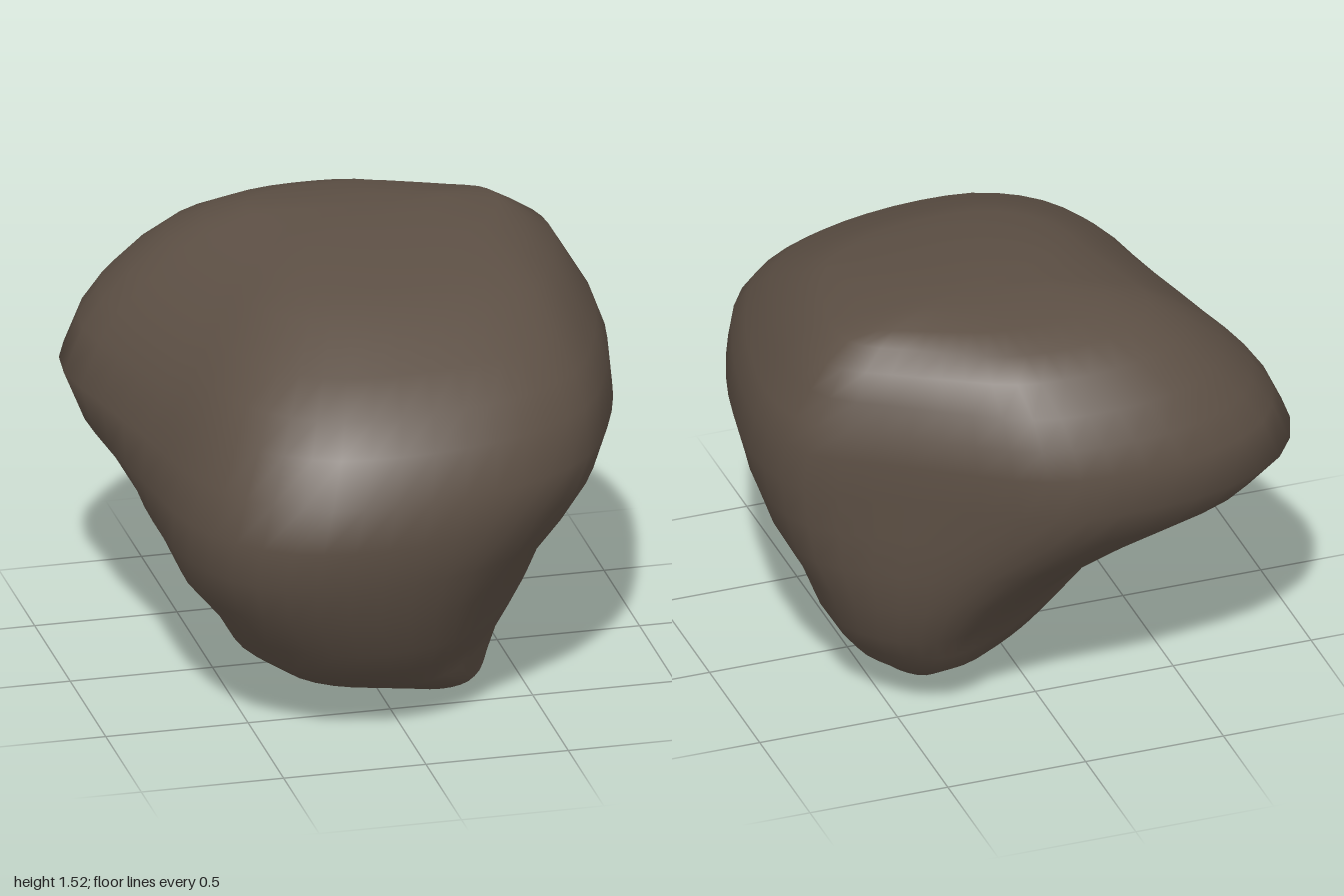
import * as THREE from 'three';

// Closed smooth outline, scaled so its bounding box is 0..1 in x and z
function outline(pairs, count) {
  const curve = new THREE.CatmullRomCurve3(pairs.map(([x, z]) => new THREE.Vector3(x, 0, z)), true);
  const pts = Array.from({ length: count }, (_, i) => curve.getPoint(i / count));
  const box = new THREE.Box3().setFromPoints(pts);
  const size = box.getSize(new THREE.Vector3());
  return pts.map(p => [(p.x - box.min.x) / size.x, (p.z - box.min.z) / size.z]);
}

// Broad upper outline, from the front round by +x
const UPPER = [
  [-0.1, 1], [0.2, 0.96], [0.45, 0.87], [0.66, 0.7], [0.8, 0.4], [0.88, 0.1], [0.91, -0.2],
  [0.84, -0.45], [0.6, -0.63], [0.35, -0.8], [0.08, -0.96], [-0.2, -1], [-0.53, -0.96],
  [-0.8, -0.8], [-0.92, -0.5], [-0.86, -0.15], [-0.77, 0.25], [-0.7, 0.6], [-0.57, 0.83], [-0.36, 0.97]];

// Undercut, nearly three-sided lower outline
const LOWER = [
  [-0.1, 0.84], [0.1, 0.8], [0.26, 0.68], [0.4, 0.48], [0.52, 0.26], [0.61, 0.02], [0.67, -0.2],
  [0.66, -0.4], [0.56, -0.55], [0.42, -0.63], [0.28, -0.62], [0.12, -0.54], [-0.05, -0.43],
  [-0.2, -0.31], [-0.36, -0.16], [-0.48, 0.02], [-0.56, 0.22], [-0.57, 0.45], [-0.48, 0.68], [-0.32, 0.8]];

// Height, then the x and z limits of the rock there
const LAYERS = [
  [0, 0.26, 0.3, 0.22, 0.28],
  [0.05, 0.15, 0.42, -0.05, 0.43],
  [0.1, -0.05, 0.49, -0.43, 0.6],
  [0.17, -0.4, 0.57, -0.53, 0.7],
  [0.25, -0.51, 0.63, -0.58, 0.77],
  [0.35, -0.57, 0.69, -0.64, 0.84],
  [0.5, -0.72, 0.75, -0.74, 0.92],
  [0.65, -0.84, 0.835, -0.84, 0.97],
  [0.8, -0.91, 0.885, -0.94, 1],
  [0.95, -0.915, 0.915, -1, 0.98],
  [1.1, -0.84, 0.905, -0.99, 0.9],
  [1.2, -0.77, 0.87, -0.95, 0.8],
  [1.3, -0.67, 0.81, -0.89, 0.66],
  [1.4, -0.54, 0.75, -0.8, 0.43],
  [1.46, -0.42, 0.66, -0.7, 0.28],
  [1.5, -0.28, 0.58, -0.58, 0],
  [1.52, -0.1, 0.4, -0.42, -0.18]];

function rockGeometry() {
  const n = 48, rows = LAYERS.length;
  const upper = outline(UPPER, n), lower = outline(LOWER, n);
  const positions = [], index = [];

  // Rings, changing from the lower to the upper outline with height
  for (const [y, x0, x1, z0, z1] of LAYERS) {
    const t = THREE.MathUtils.smoothstep(y, 0.3, 1);
    for (let j = 0; j < n; j++) {
      const u = THREE.MathUtils.lerp(lower[j][0], upper[j][0], t);
      const v = THREE.MathUtils.lerp(lower[j][1], upper[j][1], t);
      positions.push(x0 + (x1 - x0) * u, y, z0 + (z1 - z0) * v);
    }
  }
  // Centres of the bottom and the top
  for (const [y, x0, x1, z0, z1] of [LAYERS[0], LAYERS[rows - 1]]) {
    positions.push((x0 + x1) / 2, y, (z0 + z1) / 2);
  }
  const bottom = rows * n, top = bottom + 1, last = (rows - 1) * n;
  for (let j = 0; j < n; j++) {
    const k = (j + 1) % n;
    for (let i = 0; i < rows - 1; i++) {
      const a = i * n + j, b = i * n + k;
      index.push(a, b, b + n, a, b + n, a + n);
    }
    index.push(bottom, k, j, top, last + j, last + k);
  }
  const geometry = new THREE.BufferGeometry();
  geometry.setAttribute('position', new THREE.Float32BufferAttribute(positions, 3));
  geometry.setIndex(index);
  geometry.computeVertexNormals();
  return geometry;
}

export function createModel() {
  const group = new THREE.Group();
  group.name = 'boulder';
  const rock = new THREE.Mesh(rockGeometry(), new THREE.MeshStandardMaterial({ color: 0x5c4f44 }));
  rock.name = 'rock';
  group.add(rock);
  return group;
}
